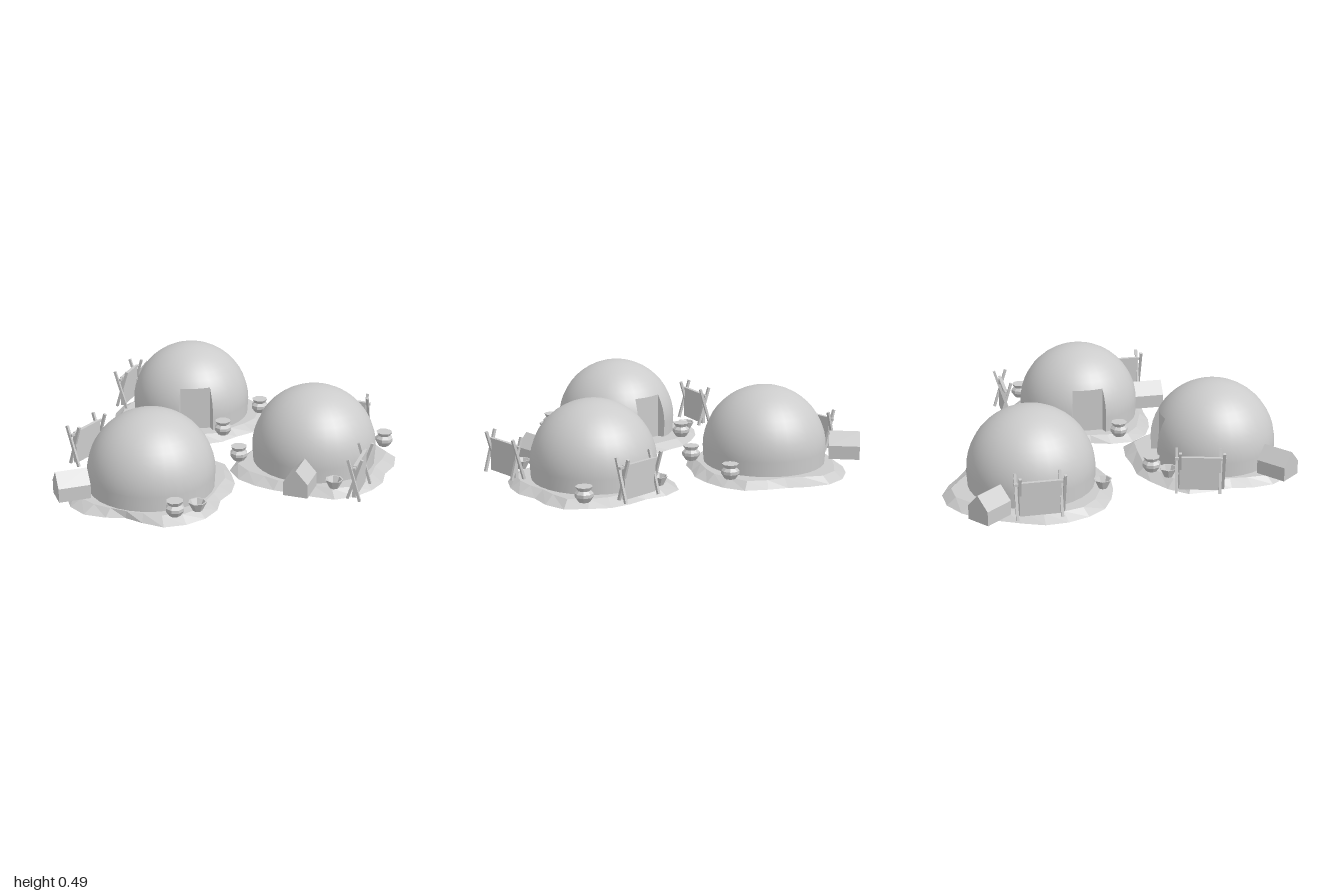
import * as THREE from 'three';

const smooth = new THREE.MeshStandardMaterial({ color: 0xcccccc, side: THREE.DoubleSide });
const flat = new THREE.MeshStandardMaterial({ color: 0xcccccc, side: THREE.DoubleSide, flatShading: true });
const GROUND = 0.04, R = 0.36, SPRING = 0.125, SEG = 32;
const HALF = (Math.PI * 2 / SEG) * 1.5;                    // half angle of the doorway
const DOOR = R * Math.cos(Math.PI / 6) * Math.cos(HALF);   // distance of the door plane

function add(parent, name, geometry, material = flat) {
  const mesh = new THREE.Mesh(geometry, material);
  mesh.name = name;
  parent.add(mesh);
  return mesh;
}

// Flat geometry from faces given as lists of corners
function fromFaces(faces) {
  const pos = [];
  for (const f of faces) {
    for (let i = 2; i < f.length; i++) pos.push(...f[0], ...f[i - 1], ...f[i]);
  }
  const g = new THREE.BufferGeometry();
  g.setAttribute('position', new THREE.Float32BufferAttribute(pos, 3));
  g.computeVertexNormals();
  return g;
}

// Dome surface of revolution, with normals that stay smooth across its two parts
function shell(points, length, segments) {
  const g = new THREE.LatheGeometry(points, segments, HALF, length);
  const p = g.attributes.position, n = new THREE.Vector3();
  for (let i = 0; i < p.count; i++) {
    n.set(p.getX(i), Math.max(p.getY(i) - SPRING, 0), p.getZ(i)).normalize();
    g.attributes.normal.setXYZ(i, n.x, n.y, n.z);
  }
  return g;
}

// Dome with its door towards local +z
function makeDome() {
  const dome = new THREE.Group();
  dome.name = 'dome';
  const arc = (from, to) => Array.from({ length: to - from + 1 }, (_, i) => {
    const a = (from + i) * Math.PI / 24;
    return new THREE.Vector2(Math.max(R * Math.cos(a), 0), SPRING + R * Math.sin(a));
  });
  const low = [new THREE.Vector2(R - 0.006, 0.027), ...arc(0, 4)];
  add(dome, 'domeRoof', shell(arc(4, 12), Math.PI * 2, SEG), smooth);
  add(dome, 'domeWall', shell(low, Math.PI * 2 - HALF * 2, SEG - 3), smooth);

  // Recessed doorway: flat door panel, lintel and two jambs
  const w = DOOR * Math.tan(HALF), sill = low[0].y, { x: r, y: top } = low[5], t = HALF / 3;
  const faces = [
    [[-w, sill, DOOR], [w, sill, DOOR], [w, top, DOOR], [-w, top, DOOR]],
    [[-w, top, DOOR], [w, top, DOOR], [r * Math.sin(t), top, r * Math.cos(t)], [-r * Math.sin(t), top, r * Math.cos(t)]],
  ];
  for (const s of [-1, 1]) {
    const sin = s * Math.sin(HALF), cos = Math.cos(HALF);
    for (let i = 0; i < 5; i++) {
      const p = low[i], q = low[i + 1];
      const jamb = [[p.x * sin, p.y, p.x * cos], [s * w, p.y, DOOR], [s * w, q.y, DOOR], [q.x * sin, q.y, q.x * cos]];
      faces.push(s > 0 ? jamb.reverse() : jamb);
    }
  }
  add(dome, 'doorway', fromFaces(faces));
  return dome;
}

// Uneven earth mound: sloping skirt around a flat top, open underneath
function moundGeometry(radii) {
  const n = radii.length * 2, foot = [], rim = [], faces = [];
  for (let i = 0; i < n; i++) {
    const a = i / n * Math.PI * 2, k = Math.floor(i / 2);
    const r = i % 2 ? (radii[k] + radii[(k + 1) % radii.length]) / 2 + 0.012 * Math.sin(i * 2.3) : radii[k];
    const inner = Math.min(Math.max(r - 0.06 - 0.012 * Math.sin(i * 1.7), 0.37), r - 0.008);
    foot.push([r * Math.cos(a), 0, r * Math.sin(a)]);
    rim.push([inner * Math.cos(a), GROUND, inner * Math.sin(a)]);
  }
  for (let i = 0; i < n; i++) {
    const j = (i + 1) % n;
    faces.push([foot[i], rim[i], rim[j], foot[j]], [[0, GROUND, 0], rim[j], rim[i]]);
  }
  return fromFaces(faces);
}

const lathe = (pts, n) => new THREE.LatheGeometry(pts.map(p => new THREE.Vector2(...p)), n);
const jarGeometry = lathe([[0, 0], [0.032, 0], [0.052, 0.03], [0.052, 0.048], [0.036, 0.064], [0.048, 0.086], [0, 0.086]], 8);
const bowlGeometry = lathe([[0, 0.008], [0.026, 0.008], [0.052, 0.06], [0.044, 0.06], [0.022, 0.018], [0, 0.018]], 7);

// Small gabled shed, ridge along local z
function shedGeometry() {
  const gable = [[-0.07, 0], [0.07, 0], [0.07, 0.08], [0, 0.155], [-0.07, 0.08]];
  const shape = new THREE.Shape(gable.map(p => new THREE.Vector2(...p)));
  return new THREE.ExtrudeGeometry(shape, { depth: 0.18, bevelEnabled: false }).translate(0, 0, -0.09);
}

// Drying rack along local z: crossed poles at both ends with a hide between
function makeRack() {
  const rack = new THREE.Group();
  rack.name = 'dryingRack';
  for (const end of [-0.12, 0.12]) {
    for (const s of [-1, 1]) {
      const pole = add(rack, 'pole', new THREE.BoxGeometry(0.015, 0.25, 0.015));
      pole.position.set(0, 0.12, end + s * 0.009);
      pole.rotation.z = s * 0.3;
    }
  }
  add(rack, 'crossbar', new THREE.BoxGeometry(0.014, 0.014, 0.28)).position.y = 0.19;
  add(rack, 'hide', new THREE.BoxGeometry(0.02, 0.19, 0.225)).position.y = 0.105;
  return rack;
}

// Centre, door direction, mound radii every 30 degrees from +x to +z, props as [x, z] or [x, z, turn]
const homesteads = [
  { name: 'backHomestead', at: [-0.455, -0.5], door: [0.43, 0.9],
    mound: [0.48, 0.44, 0.46, 0.455, 0.47, 0.49, 0.475, 0.44, 0.485, 0.5, 0.44, 0.5],
    jars: [[-0.04, -0.62], [-0.14, -0.21]], bowls: [[-0.635, -0.13]],
    shed: [-0.845, -0.785, 0.69], racks: [[-0.89, -0.52, 0]] },
  { name: 'sideHomestead', at: [0.48, -0.05], door: [-1, 0],
    mound: [0.43, 0.475, 0.49, 0.42, 0.46, 0.5, 0.4, 0.417, 0.5, 0.43, 0.47, 0.5],
    jars: [[0.825, -0.365], [0.075, 0.12]], bowls: [[0.35, -0.445], [0.705, 0.32]],
    shed: [0.53, 0.4, 0], racks: [[0.843, 0.3, 0], [0.56, -0.51, Math.PI / 2]] },
  { name: 'frontHomestead', at: [-0.28, 0.595], door: [0.06, -1],
    mound: [0.41, 0.47, 0.467, 0.37, 0.467, 0.48, 0.415, 0.51, 0.49, 0.475, 0.54, 0.477],
    jars: [[-0.455, 0.19], [-0.015, 0.915]], bowls: [[-0.565, 0.26], [0.085, 0.835]],
    shed: [-0.64, 0.875, -0.89], racks: [[-0.77, 0.385, -0.24]] },
];

export function createModel() {
  const model = new THREE.Group();
  model.name = 'domeVillage';
  for (const h of homesteads) {
    const home = new THREE.Group();
    home.name = h.name;
    model.add(home);
    const [cx, cz] = h.at;
    add(home, 'mound', moundGeometry(h.mound)).position.set(cx, 0, cz);
    const dome = makeDome();
    dome.position.set(cx, 0, cz);
    dome.rotation.y = Math.atan2(h.door[0], h.door[1]);
    home.add(dome);
    for (const [x, z] of h.jars) add(home, 'jar', jarGeometry).position.set(x, GROUND, z);
    for (const [x, z] of h.bowls) add(home, 'bowl', bowlGeometry).position.set(x, GROUND, z);
    const shed = add(home, 'shed', shedGeometry());
    shed.position.set(h.shed[0], GROUND, h.shed[1]);
    shed.rotation.y = h.shed[2];
    for (const [x, z, turn] of h.racks) {
      const rack = makeRack();
      rack.position.set(x, GROUND, z);
      rack.rotation.y = turn;
      home.add(rack);
    }
  }
  return model;
}
